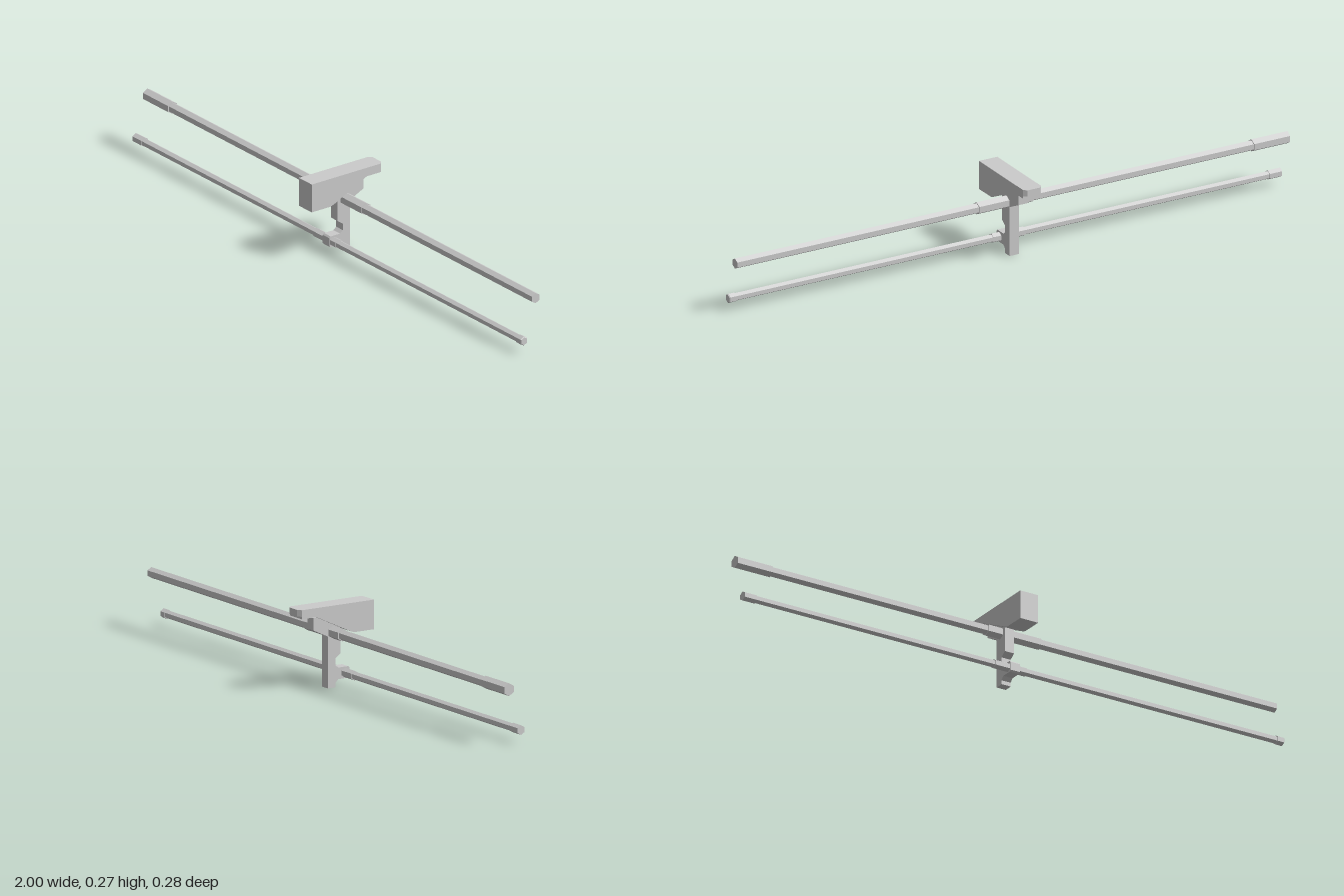
import * as THREE from 'three';

const material = new THREE.MeshStandardMaterial({ color: 0xcccccc, flatShading: true });

function addMesh(group, name, geometry) {
  const mesh = new THREE.Mesh(geometry, material);
  mesh.name = name;
  group.add(mesh);
  return mesh;
}

// Side profile given as [z, y] points, extruded across x and centred on x = 0.
function sidePlate(points, width) {
  const shape = new THREE.Shape(points.map(([z, y]) => new THREE.Vector2(z, y)));
  const geometry = new THREE.ExtrudeGeometry(shape, { depth: width, bevelEnabled: false });
  return geometry.translate(0, 0, -width / 2).rotateY(-Math.PI / 2);
}

// Six-sided rod along x, from [x, radius] steps, with closed ends and corners up and down.
function hexRod(steps, y, z) {
  const ends = [[steps[0][0], 0], ...steps, [steps[steps.length - 1][0], 0]];
  const profile = ends.map(([x, r]) => new THREE.Vector2(r, x));
  return new THREE.LatheGeometry(profile, 6, Math.PI / 2)
    .rotateZ(-Math.PI / 2)
    .translate(0, y, z);
}

export function createModel() {
  const model = new THREE.Group();
  model.name = 'twinRodBracket';

  // Wedge-shaped head block
  addMesh(model, 'headBlock', sidePlate([
    [0.141, 0.172], [0.141, 0.267], [-0.13, 0.267], [-0.13, 0.238],
    [-0.075, 0.238], [0.055, 0.176], [0.068, 0.172],
  ], 0.066));

  // Tapered tab at the rear of the head block
  const tab = new THREE.Shape([
    new THREE.Vector2(-0.033, 0.13), new THREE.Vector2(0.033, 0.13),
    new THREE.Vector2(0.022, 0.14), new THREE.Vector2(-0.022, 0.14),
  ]);
  addMesh(model, 'rearTab', new THREE.ExtrudeGeometry(tab, { depth: 0.021, bevelEnabled: false })
    .rotateX(-Math.PI / 2).translate(0, 0.246, 0));

  // Hanging stem with its sloped rear arm and lower rod holder
  addMesh(model, 'stem', sidePlate([
    [0.027, 0.189], [0.027, 0.107], [0.007, 0.093], [0.007, 0.071],
    [0.018, 0.062], [0.055, 0.062], [0.06, 0.057], [0.06, 0.03],
    [0.055, 0.025], [0.018, 0.025], [0.007, 0.014], [0.007, 0.001],
    [0.005, 0], [-0.021, 0], [-0.021, 0.166], [-0.075, 0.192],
    [-0.075, 0.232], [-0.062, 0.232],
  ], 0.034));

  // Upper rod with a long end grip and a middle sleeve
  addMesh(model, 'upperRod', hexRod([
    [-1, 0.0205], [-0.87, 0.0205], [-0.87, 0.0172], [-0.07, 0.0172],
    [-0.07, 0.0205], [0.125, 0.0205], [0.125, 0.0172], [1, 0.0172],
  ], 0.178, -0.001));

  // Lower rod with end caps and a middle sleeve
  addMesh(model, 'lowerRod', hexRod([
    [-1, 0.0155], [-0.955, 0.0155], [-0.955, 0.0132], [-0.07, 0.0132],
    [-0.07, 0.0155], [0.045, 0.0155], [0.045, 0.0132], [0.975, 0.0132],
    [0.975, 0.0155], [0.997, 0.0155], [1, 0.0132],
  ], 0.043, 0.044));

  return model;
}
